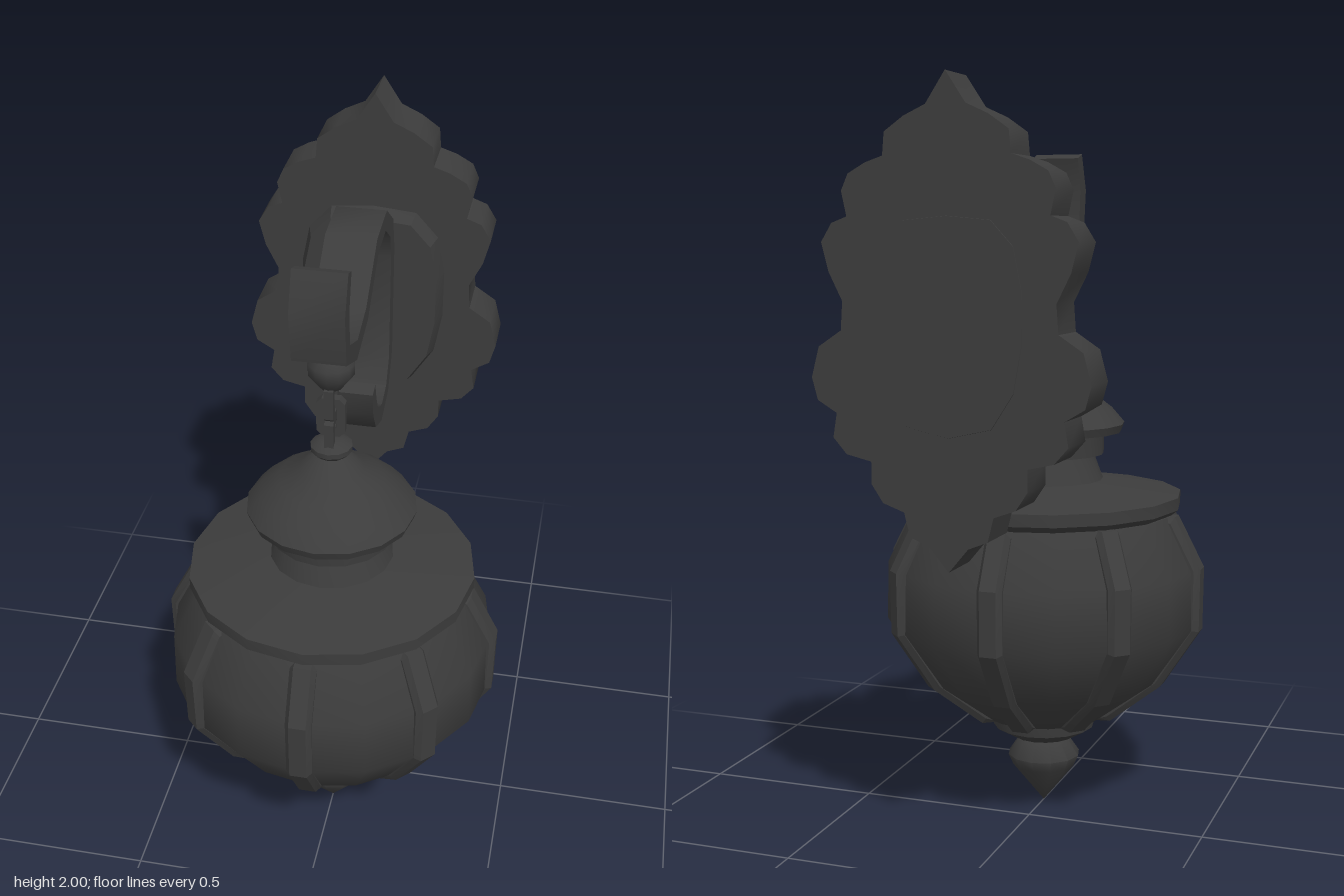
import * as THREE from 'three';
import { toCreasedNormals } from 'three/addons/utils/BufferGeometryUtils.js';

const AXIS_Z = 0.13; // the lantern hangs on this vertical axis
const iron = new THREE.MeshStandardMaterial({ color: 0x3c3c3c });
const vectors = (list) => list.map(([x, y]) => new THREE.Vector2(x, y));

function part(name, geometry, parent, crease = 0.7) {
  const mesh = new THREE.Mesh(toCreasedNormals(geometry, crease), iron);
  mesh.name = name;
  parent.add(mesh);
  return mesh;
}

// Turned part from [radius, y] pairs, listed from bottom to top
const turned = (profile, sides = 16) => new THREE.LatheGeometry(vectors(profile), sides);

// Outline of [x, y] pairs from top to bottom on the right, mirrored to the left
function mirrored(right) {
  const left = right.filter(([x]) => x > 0).map(([x, y]) => [-x, y]).reverse();
  return new THREE.Shape(vectors([...right, ...left]));
}

// Closed outline around a polyline with a mitred, slightly tapering thickness
function ribbonShape(path, thickness) {
  const pts = vectors(path), sideA = [], sideB = [];
  pts.forEach((p, i) => {
    const before = pts[Math.max(i - 1, 0)], after = pts[Math.min(i + 1, pts.length - 1)];
    const d = after.clone().sub(before).normalize();
    const end = i === 0 || i === pts.length - 1;
    const n = new THREE.Vector2(-d.y, d.x).multiplyScalar(thickness * (end ? 0.4 : 0.53));
    sideA.push(p.clone().add(n));
    sideB.unshift(p.clone().sub(n));
  });
  return new THREE.Shape([...sideA, ...sideB]);
}

// Extrude a side outline given in (z, y) to a width centred on x = 0
function sideExtrude(shape, width, bevel = { bevelEnabled: false }) {
  const g = new THREE.ExtrudeGeometry(shape, { depth: width, ...bevel });
  return g.translate(0, 0, -width / 2).rotateY(-Math.PI / 2);
}

// Rectangle with chamfered corners, as half width, half height and chamfer
const chamfered = (w, h, c) => vectors([
  [w, h - c], [w - c, h], [c - w, h], [-w, h - c],
  [-w, c - h], [c - w, -h], [w - c, -h], [w, c - h],
]);

export function createModel() {
  const model = new THREE.Group();
  model.name = 'wallLantern';

  // Scalloped wall plate
  const scallops = [
    [0, 2], [0.05, 1.925], [0.105, 1.9], [0.155, 1.865], [0.16, 1.81], [0.205, 1.795], [0.25, 1.77],
    [0.268, 1.73], [0.255, 1.67], [0.295, 1.655], [0.323, 1.61], [0.305, 1.54], [0.27, 1.47],
    [0.275, 1.4], [0.335, 1.36], [0.355, 1.285], [0.34, 1.23], [0.29, 1.2], [0.3, 1.14],
    [0.265, 1.1], [0.2, 1.085], [0.2, 1.03], [0.17, 0.985], [0.115, 0.965], [0.1, 0.905],
    [0.05, 0.885], [0, 0.825],
  ];
  const plate = new THREE.ExtrudeGeometry(mirrored(scallops), { depth: 0.133, bevelEnabled: false });
  part('wallPlate', plate.translate(0, 0, -0.585), model, 0.9);

  // Raised oval boss with a sloping edge, set through the plate
  const oval = mirrored([
    [0, 1.67], [0.11, 1.66], [0.165, 1.6], [0.185, 1.5],
    [0.185, 1.37], [0.165, 1.26], [0.11, 1.175], [0, 1.15],
  ]);
  const boss = new THREE.ExtrudeGeometry(oval, {
    depth: 0.085, bevelThickness: 0.05, bevelSize: 0.015, bevelSegments: 1,
  });
  part('plateBoss', boss.translate(0, 0, -0.537), model, 0.3);

  // Scrolled strap arm
  const armPath = [
    [0.238, 1.845], [0.27, 1.75], [0.256, 1.635], [0.138, 1.583], [0.01, 1.612], [-0.138, 1.728],
    [-0.26, 1.738], [-0.35, 1.675], [-0.376, 1.59], [-0.376, 1.273], [-0.328, 1.188],
    [-0.243, 1.161], [-0.164, 1.193], [-0.128, 1.25], [-0.11, 1.315],
  ];
  part('scrollArm', sideExtrude(ribbonShape(armPath, 0.05), 0.134), model);

  const lantern = new THREE.Group();
  lantern.name = 'lantern';
  lantern.position.z = AXIS_Z;
  model.add(lantern);

  // Hanging ball and three alternating chain links
  part('hangingBall', turned([
    [0, 1.46], [0.03, 1.468], [0.06, 1.508], [0.06, 1.538], [0.035, 1.568], [0, 1.575],
  ], 12), lantern, 1.2);
  const linkShape = new THREE.Shape(chamfered(0.037, 0.055, 0.014));
  linkShape.holes.push(new THREE.Path(chamfered(0.017, 0.033, 0.007)));
  const linkGeometry = new THREE.ExtrudeGeometry(linkShape, { depth: 0.024, bevelEnabled: false });
  linkGeometry.translate(0, 0, -0.012);
  [1.43, 1.38, 1.33].forEach((y, i) => {
    const link = part('chainLink', linkGeometry, lantern, 0.3);
    link.position.y = y;
    link.rotation.y = i % 2 ? 0 : Math.PI / 2;
  });

  // Domed cap with collar, then neck and wide rim
  part('capCollar', turned([
    [0, 1.25], [0.034, 1.26], [0.055, 1.28], [0.055, 1.294], [0.03, 1.31], [0, 1.31],
  ], 12), lantern);
  part('cap', turned([
    [0, 1.08], [0.218, 1.085], [0.226, 1.108], [0.19, 1.15], [0.14, 1.188], [0.085, 1.222],
    [0.036, 1.27], [0, 1.275],
  ]), lantern, 0.8);
  part('neck', turned([
    [0.17, 0.94], [0.14, 1.02], [0.168, 1.022], [0.17, 1.09], [0, 1.09],
  ]), lantern);
  part('rim', turned([
    [0, 0.85], [0.35, 0.852], [0.372, 0.865], [0.388, 0.878], [0.388, 0.912], [0.17, 0.95], [0, 0.95],
  ]), lantern);

  // Rounded globe
  part('globe', turned([
    [0, 0.26], [0.18, 0.27], [0.335, 0.385], [0.446, 0.55], [0.442, 0.715], [0.37, 0.86], [0, 0.87],
  ]), lantern, 0.8);

  // Eight ribs with bevelled edges following the globe
  const ribOutline = new THREE.Shape(vectors([
    [0.15, 0.262], [0.205, 0.265], [0.35, 0.38], [0.457, 0.545], [0.459, 0.72], [0.385, 0.862],
    [0.33, 0.862], [0.39, 0.71], [0.39, 0.56], [0.29, 0.41],
  ]));
  const ribBevel = { bevelThickness: 0.012, bevelSize: 0.016, bevelOffset: -0.016, bevelSegments: 1 };
  for (let i = 0; i < 8; i++) {
    const rib = part('globeRib', sideExtrude(ribOutline, 0.046, ribBevel), lantern, 0.3);
    rib.rotation.y = i * Math.PI / 4;
  }

  // Bottom cup and pointed finial
  part('bottomCup', turned([
    [0, 0.198], [0.09, 0.2], [0.145, 0.232], [0.15, 0.265], [0, 0.28],
  ]), lantern);
  part('finial', turned([
    [0, 0], [0.09, 0.112], [0.104, 0.143], [0.065, 0.2], [0, 0.21],
  ], 12), lantern, 1);

  return model;
}
